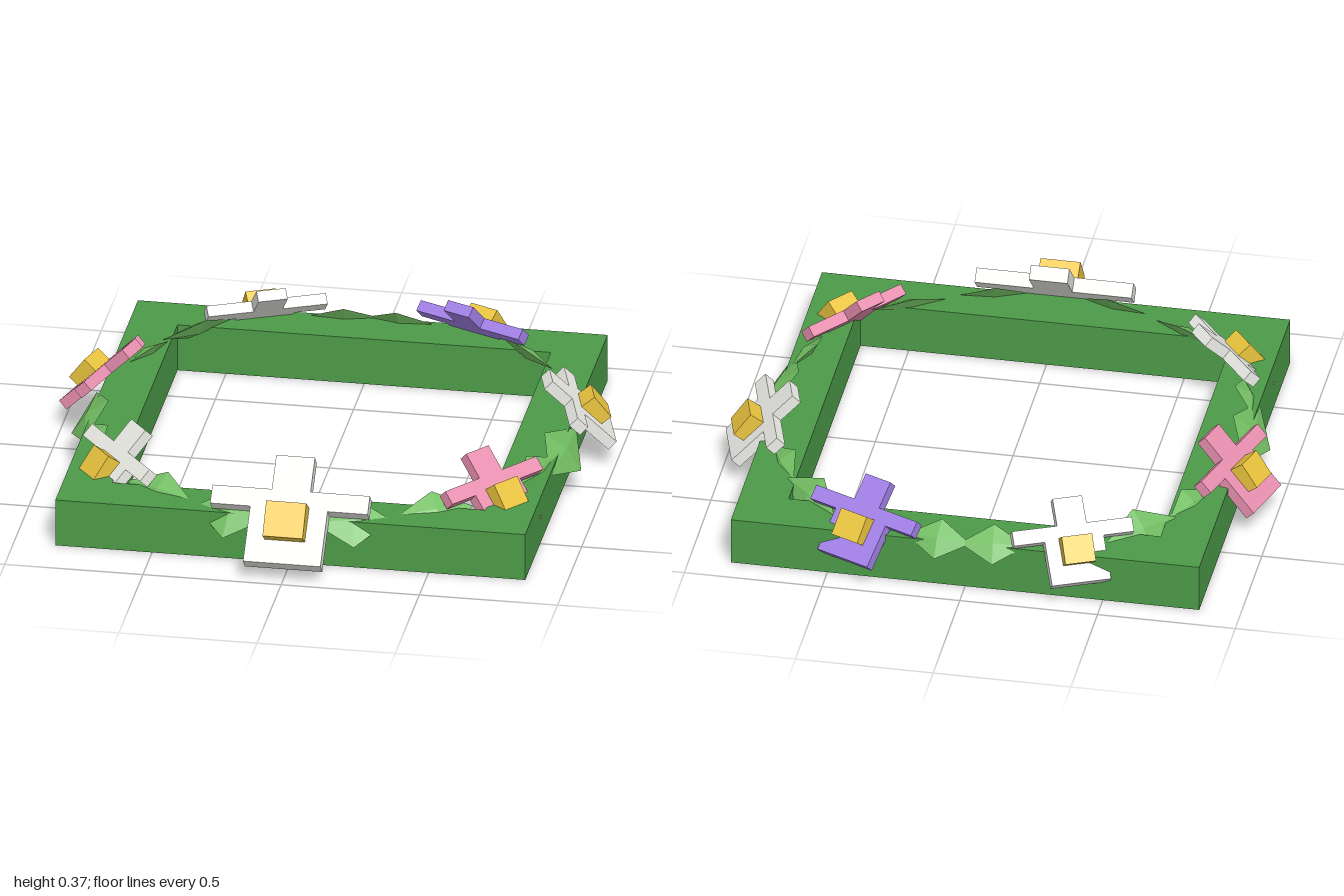
import * as THREE from 'three';

const mat = (color) => new THREE.MeshStandardMaterial({ color, flatShading: true });
const GREEN = mat(0x4c9a48), LEAF = mat(0x72bd62), YELLOW = mat(0xeac43e);
const WHITE = mat(0xebebe6), PINK = mat(0xe88fb0), PURPLE = mat(0xa07fe6);

function box(name, w, h, d, x, y, z, material) {
  const m = new THREE.Mesh(new THREE.BoxGeometry(w, h, d), material);
  m.position.set(x, y, z);
  m.name = name;
  return m;
}

// Turns an object to face outward along (nx, nz), leaning back 45 degrees
function place(obj, x, y, z, nx, nz) {
  obj.position.set(x, y, z);
  obj.rotation.order = 'YXZ';
  obj.rotation.set(-Math.PI / 4, Math.atan2(nx, nz), 0);
  return obj;
}

// Square band: a rectangle with a rectangular hole
function band() {
  const rect = (P, x, z0, z1) => {
    const p = new P();
    p.moveTo(-x, -z1);
    p.lineTo(x, -z1);
    p.lineTo(x, -z0);
    p.lineTo(-x, -z0);
    p.closePath();
    return p;
  };
  const shape = rect(THREE.Shape, 0.85, -0.9, 0.81);
  shape.holes.push(rect(THREE.Path, 0.675, -0.72, 0.63));
  const geo = new THREE.ExtrudeGeometry(shape, { depth: 0.178, bevelEnabled: false });
  geo.rotateX(-Math.PI / 2);
  const m = new THREE.Mesh(geo, GREEN);
  m.name = 'band';
  return m;
}

// Petal cross outline, wide at the bottom, with a raised block in the middle
function flower(petals) {
  const g = new THREE.Group();
  g.name = 'flower';
  const half = [[0.14, -0.205], [0.14, 0.005], [0.285, 0.005], [0.285, 0.075], [0.07, 0.075], [0.07, 0.205]];
  const left = half.map(([x, y]) => [-x, y]).reverse();
  const shape = new THREE.Shape([...half, ...left].map(([x, y]) => new THREE.Vector2(x, y)));
  const geo = new THREE.ExtrudeGeometry(shape, { depth: 0.054, bevelEnabled: false });
  geo.translate(0, 0, -0.027);
  const m = new THREE.Mesh(geo, petals);
  m.name = 'petals';
  const centre = box('flowerCentre', 0.145, 0.13, 0.075, 0, -0.055, 0.055, YELLOW);
  centre.rotation.x = 0.14;
  g.add(m, centre);
  return g;
}

// Thin faceted leaf lying along the band
function leaf(length, width) {
  const geo = new THREE.OctahedronGeometry(1, 0);
  geo.scale(length / 2, width / 2, 0.02);
  const m = new THREE.Mesh(geo, LEAF);
  m.name = 'leaf';
  return m;
}

export function createModel() {
  const model = new THREE.Group();
  model.name = 'flowerCrown';
  model.add(band());

  // Large flower at the front
  model.add(place(flower(WHITE), 0, 0.203, 0.825, 0, 1));

  // Smaller flowers in pairs: x, z, outward direction, left and right colours
  const pairs = [
    [0.69, 0.505, 0.79, 0.61, PINK, WHITE],
    [0.857, -0.245, 0.96, -0.28, WHITE, PINK],
    [0.383, -0.845, 0.41, -0.91, PURPLE, WHITE],
  ];
  // Leaves between flowers: x, y, z, outward direction, length, width
  const leaves = [
    [0.1, 0.18, -0.89, 0.1, -1, 0.24, 0.15],
    [0.6, 0.18, -0.69, 0.72, -0.7, 0.3, 0.16],
    [0.74, 0.175, -0.48, 0.88, -0.47, 0.24, 0.13],
    [0.855, 0.16, 0.06, 1, 0.06, 0.42, 0.19],
    [0.8, 0.18, 0.27, 0.95, 0.3, 0.24, 0.13],
    [0.5, 0.175, 0.66, 0.45, 0.9, 0.28, 0.15],
    [0.22, 0.17, 0.79, 0.25, 0.97, 0.28, 0.2],
  ];
  for (const s of [1, -1]) {
    for (const [x, z, nx, nz, leftColor, rightColor] of pairs) {
      const f = flower(s > 0 ? leftColor : rightColor);
      f.scale.setScalar(0.77);
      model.add(place(f, s * x, 0.2, z, s * nx, nz));
    }
    for (const [x, y, z, nx, nz, length, width] of leaves) {
      model.add(place(leaf(length, width), s * x, y, z, s * nx, nz));
    }
  }
  return model;
}
